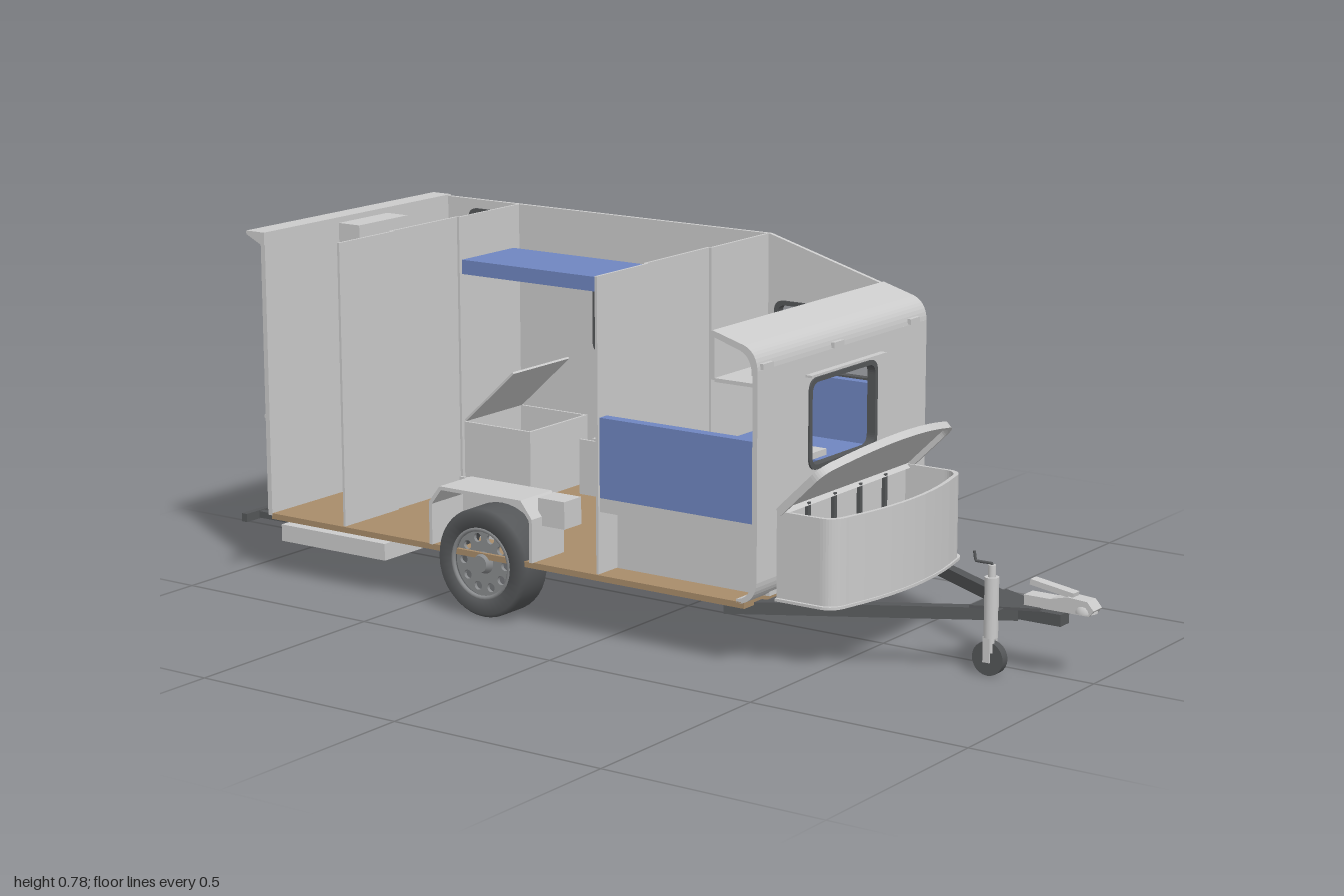
import * as THREE from 'three';

const GREY = 0xcccccc, DARK = 0x555759, BLUE = 0x6f86c0, WOOD = 0xa88c6a, RED = 0x96283c, AMBER = 0xc8862e;
const mats = {};
const mat = (c) => (mats[c] ??= new THREE.MeshStandardMaterial({ color: c, side: THREE.DoubleSide }));

export function createModel() {
  const model = new THREE.Group();
  const add = (name, geo, color = GREY, parent = model) => {
    const m = new THREE.Mesh(geo, mat(color));
    m.name = name;
    parent.add(m);
    return m;
  };
  // Box given by its limits on each axis
  const box = (name, x0, x1, y0, y1, z0, z1, color, parent) => {
    const g = new THREE.BoxGeometry(x1 - x0, y1 - y0, z1 - z0);
    g.translate((x0 + x1) / 2, (y0 + y1) / 2, (z0 + z1) / 2);
    return add(name, g, color, parent);
  };
  const extrude = (shape, depth) => new THREE.ExtrudeGeometry(shape, { depth, bevelEnabled: false, curveSegments: 10 });
  const poly = (pts) => new THREE.Shape(pts.map((p) => new THREE.Vector2(...p)));
  const roundRect = (P, x0, x1, y0, y1, r) => {
    const p = new P();
    p.moveTo(x0 + r, y0);
    p.lineTo(x1 - r, y0).quadraticCurveTo(x1, y0, x1, y0 + r);
    p.lineTo(x1, y1 - r).quadraticCurveTo(x1, y1, x1 - r, y1);
    p.lineTo(x0 + r, y1).quadraticCurveTo(x0, y1, x0, y1 - r);
    p.lineTo(x0, y0 + r).quadraticCurveTo(x0, y0, x0 + r, y0);
    return p;
  };
  const windowFrame = (x0, x1, y0, y1, r, depth) => {
    const s = roundRect(THREE.Shape, x0 - 0.004, x1 + 0.004, y0 - 0.004, y1 + 0.004, r);
    s.holes.push(roundRect(THREE.Path, x0 + 0.006, x1 - 0.006, y0 + 0.006, y1 - 0.006, r * 0.8));
    return extrude(s, depth);
  };
  // Bar between two points with a rectangular section
  const bar = (name, a, b, h, w, color) => {
    const A = new THREE.Vector3(...a), B = new THREE.Vector3(...b);
    const m = add(name, new THREE.BoxGeometry(w, h, A.distanceTo(B)), color);
    m.position.copy(A).lerp(B, 0.5);
    m.lookAt(B);
    return m;
  };
  const rod = (name, pts, r, color, parent) => add(name, new THREE.TubeGeometry(
    new THREE.CatmullRomCurve3(pts.map((p) => new THREE.Vector3(...p)), false, 'catmullrom', 0.1), 16, r, 8), color, parent);

  // Side wall with windows and wheel opening
  const wall = new THREE.Shape();
  wall.moveTo(-0.92, 0.14);
  wall.lineTo(-0.45, 0.14).lineTo(-0.45, 0.24).lineTo(-0.42, 0.27).lineTo(-0.2, 0.27).lineTo(-0.17, 0.24).lineTo(-0.17, 0.14);
  wall.lineTo(0.35, 0.14).quadraticCurveTo(0.4, 0.145, 0.4, 0.2);
  wall.lineTo(0.4, 0.62).quadraticCurveTo(0.4, 0.67, 0.36, 0.68);
  wall.lineTo(0, 0.78).lineTo(-0.92, 0.78).closePath();
  const windows = [[0.02, 0.28, 0.48, 0.63], [-0.48, -0.23, 0.46, 0.62], [-0.84, -0.745, 0.66, 0.755]];
  for (const [x0, x1, y0, y1] of windows) {
    wall.holes.push(roundRect(THREE.Path, x0, x1, y0, y1, 0.025));
    add('sideWindowFrame', windowFrame(x0, x1, y0, y1, 0.025, 0.02), DARK).position.z = -0.328;
    const mid = (x0 + x1) / 2;
    box('windowDivider', mid - 0.004, mid + 0.004, y0, y1, -0.326, -0.314, DARK);
    box('windowRainStrip', x0 - 0.025, x1 + 0.015, y1 + 0.012, y1 + 0.017, -0.342, -0.32);
  }
  add('sideWall', extrude(wall, 0.01)).position.z = -0.323;
  box('beltTrim', -0.92, 0.4, 0.363, 0.37, -0.326, -0.322);
  box('lowerTrim', -0.92, -0.45, 0.14, 0.148, -0.326, -0.322);
  for (const x of [-0.84, -0.1, 0.34]) box('sideMarker', x - 0.014, x + 0.014, 0.332, 0.342, -0.328, -0.322, AMBER);

  // Rear wall, spoiler and lights
  box('rearWall', -0.92, -0.908, 0.14, 0.78, -0.32, 0.33);
  add('rearSpoiler', extrude(poly([[-0.908, 0.783], [-0.96, 0.783], [-0.96, 0.775], [-0.918, 0.755], [-0.908, 0.755]]), 0.655)).position.z = -0.323;
  box('rearBeltTrim', -0.923, -0.92, 0.363, 0.37, -0.32, 0.33);
  for (const s of [1, -1]) {
    const c = 0.005 + s * 0.255;
    box('tailLight', -0.925, -0.92, 0.385, 0.42, c - 0.055, c + 0.055, RED);
    box('topRearLight', -0.925, -0.92, 0.725, 0.735, c - 0.015, c + 0.015, RED);
    box('bumperArm', -0.99, -0.85, 0.115, 0.13, s * 0.28 - 0.008, s * 0.28 + 0.008, DARK);
  }
  box('rearLock', -0.925, -0.92, 0.555, 0.57, -0.02, 0.02, DARK);
  box('rearBumper', -1, -0.985, 0.113, 0.132, -0.33, 0.33, DARK);

  // Front wall with window, rounded cap and lower edge
  const front = poly([[-0.33, 0.19], [0.32, 0.19], [0.32, 0.63], [-0.33, 0.63]]);
  front.holes.push(roundRect(THREE.Path, -0.138, 0.117, 0.39, 0.577, 0.03));
  const frontWall = add('frontWall', extrude(front, 0.012));
  frontWall.rotation.y = Math.PI / 2;
  frontWall.position.x = 0.388;
  const frontFrame = add('frontWindowFrame', windowFrame(-0.138, 0.117, 0.39, 0.577, 0.03, 0.02), DARK);
  frontFrame.rotation.y = Math.PI / 2;
  frontFrame.position.x = 0.384;
  box('frontRainStrip', 0.4, 0.415, 0.587, 0.592, -0.138, 0.153);
  const cap = new THREE.Shape();
  cap.moveTo(0.4, 0.62);
  cap.quadraticCurveTo(0.402, 0.672, 0.36, 0.682).lineTo(0.29, 0.702).lineTo(0.287, 0.69).lineTo(0.352, 0.67);
  cap.quadraticCurveTo(0.386, 0.66, 0.386, 0.62).closePath();
  add('frontCap', extrude(cap, 0.653)).position.z = -0.323;
  const chin = new THREE.Shape();
  chin.moveTo(0.4, 0.2);
  chin.quadraticCurveTo(0.4, 0.145, 0.35, 0.14).lineTo(0.35, 0.15).quadraticCurveTo(0.388, 0.155, 0.388, 0.2).closePath();
  add('frontLowerEdge', extrude(chin, 0.65)).position.z = -0.32;
  for (const z of [0.3, 0.037, -0.265]) box('frontMarker', 0.395, 0.407, 0.632, 0.644, z - 0.019, z + 0.019);

  // Overhead locker behind the cap
  box('lockerDoor', 0.287, 0.295, 0.6, 0.7, -0.312, 0.33);
  box('lockerFloor', 0.295, 0.388, 0.596, 0.604, -0.312, 0.33);

  // Floor, step and inner walls
  box('floor', -0.91, 0.37, 0.132, 0.145, -0.32, 0.33, WOOD);
  box('entryStep', -0.89, -0.59, 0.082, 0.12, 0.19, 0.32);
  for (const x of [-0.7, -0.005]) {
    for (const [a, b, d] of [[-0.312, -0.09, 0], [-0.095, 0.145, -0.006], [0.14, 0.325, 0]])
      box('partitionPanel', x - 0.003 + d, x + 0.003 + d, 0.145, 0.78, a, b);
  }

  // Washroom
  box('showerTray', -0.908, -0.704, 0.145, 0.16, -0.312, -0.1, DARK);
  box('washCabinet', -0.908, -0.848, 0.145, 0.77, -0.09, 0.08);
  box('mirrorFrame', -0.85, -0.844, 0.61, 0.74, -0.06, 0.05, DARK);
  box('mirror', -0.848, -0.842, 0.622, 0.728, -0.05, 0.04);
  rod('showerPipe', [[-0.905, 0.5, -0.17], [-0.88, 0.5, -0.17], [-0.88, 0.7, -0.17], [-0.85, 0.725, -0.17], [-0.82, 0.7, -0.17]], 0.004, DARK);
  const rose = add('showerHead', new THREE.CylinderGeometry(0.008, 0.022, 0.014, 16), DARK);
  rose.position.set(-0.82, 0.695, -0.17);

  // Raised bunk with two open storage benches below
  box('bunk', -0.69, -0.03, 0.65, 0.683, -0.28, -0.09, BLUE);
  for (const s of [-1, 1]) {
    const X = (d) => -0.36 + s * (0.333 - d);
    const bench = new THREE.Group();
    bench.name = 'storageBench';
    model.add(bench);
    const part = (n, d0, d1, y0, y1, z0, z1) => box(n, Math.min(X(d0), X(d1)), Math.max(X(d0), X(d1)), y0, y1, z0, z1, GREY, bench);
    part('benchFront', 0, 0.19, 0.145, 0.305, -0.1, -0.094);
    part('benchBack', 0, 0.19, 0.145, 0.305, -0.312, -0.306);
    part('benchEnd', 0.184, 0.19, 0.145, 0.305, -0.31, -0.096);
    part('benchBase', 0, 0.19, 0.146, 0.15, -0.31, -0.096);
    bar('benchLid', [X(0), 0.307, -0.203], [X(0.14), 0.435, -0.203], 0.005, 0.21);
  }

  // Front seats and table
  for (const [z0, z1, b0, b1, f0, f1] of [[-0.312, -0.1, -0.312, -0.285, -0.312, -0.15], [0.165, 0.322, 0.296, 0.322, 0.17, 0.26]]) {
    box('seatCushion', 0, 0.385, 0.31, 0.345, z0, z1, BLUE);
    box('seatBackrest', 0, 0.385, 0.345, 0.482, b0, b1, BLUE);
    box('seatBoard', 0, 0.385, 0.28, 0.31, z0, z1);
    box('seatBase', 0, 0.385, 0.145, 0.28, f0, f1);
  }
  const table = add('tableTop', extrude(poly([[0.11, -0.1], [0.17, -0.16], [0.29, -0.16], [0.29, 0.1], [0.17, 0.1], [0.11, 0.04]]), 0.014));
  table.rotation.x = -Math.PI / 2;
  table.position.y = 0.36;
  const leg = add('tableLeg', new THREE.CylinderGeometry(0.012, 0.012, 0.215, 12));
  leg.position.set(0.21, 0.2525, 0.03);

  // Wheels and wheel boxes
  const archShape = () => poly([[-0.45, 0.145], [-0.45, 0.24], [-0.42, 0.278], [-0.2, 0.278], [-0.17, 0.24], [-0.17, 0.145],
    [-0.178, 0.145], [-0.178, 0.236], [-0.204, 0.27], [-0.416, 0.27], [-0.442, 0.236], [-0.442, 0.145]]);
  for (const s of [1, -1]) {
    add('wheelArch', extrude(archShape(), 0.11)).position.z = s > 0 ? 0.225 : -0.327;
    box('wheelBoxInside', -0.45, -0.17, 0.145, 0.274, s > 0 ? 0.222 : -0.215, s > 0 ? 0.228 : -0.209);
    const wheel = new THREE.Group();
    wheel.name = s > 0 ? 'frontSideWheel' : 'backSideWheel';
    wheel.position.set(-0.31, 0.122, s > 0 ? 0.292 : -0.265);
    wheel.rotation.y = s > 0 ? 0 : Math.PI;
    const profile = [[0.076, -0.043], [0.112, -0.044], [0.12, -0.034], [0.12, 0.034], [0.112, 0.044], [0.076, 0.043], [0.074, 0], [0.076, -0.043]];
    const tyre = new THREE.LatheGeometry(profile.map((p) => new THREE.Vector2(...p)), 40);
    add('tyre', tyre.rotateX(Math.PI / 2), DARK, wheel);
    const rim = new THREE.Shape().absarc(0, 0, 0.077, 0, Math.PI * 2);
    for (let i = 0; i < 10; i++) {
      const a = (i / 10) * Math.PI * 2;
      rim.holes.push(new THREE.Path().absarc(Math.cos(a) * 0.056, Math.sin(a) * 0.056, 0.01, 0, Math.PI * 2));
    }
    add('rim', extrude(rim, 0.008), 0x8a8c8e, wheel).position.z = 0.022;
    add('rimEdge', new THREE.TorusGeometry(0.076, 0.005, 8, 40), 0x8a8c8e, wheel).position.z = 0.04;
    const hub = add('hub', new THREE.CylinderGeometry(0.018, 0.026, 0.02, 20), 0x8a8c8e, wheel);
    hub.rotation.x = Math.PI / 2;
    hub.position.z = 0.036;
    model.add(wheel);
  }
  box('wheelArchShelf', -0.18, -0.11, 0.22, 0.28, 0.24, 0.3);

  // Nose storage tub with its lid propped open
  const plan = (P, len, w) => {
    const p = new P();
    p.moveTo(0, -w);
    p.lineTo(len - 0.07, -w).quadraticCurveTo(len - 0.035, -w, len - 0.028, -w + 0.045);
    p.quadraticCurveTo(len + 0.028, 0, len - 0.028, w - 0.045);
    p.quadraticCurveTo(len - 0.035, w, len - 0.07, w).lineTo(0, w).closePath();
    return p;
  };
  const tub = plan(THREE.Shape, 0.175, 0.255);
  tub.holes.push(plan(THREE.Path, 0.167, 0.247));
  add('tubWall', extrude(tub, 0.185).rotateX(-Math.PI / 2)).position.set(0.4, 0.142, 0.002);
  add('tubFloor', extrude(plan(THREE.Shape, 0.178, 0.262), 0.006).rotateX(-Math.PI / 2)).position.set(0.4, 0.138, 0.002);
  const lidRim = plan(THREE.Shape, 0.185, 0.258);
  lidRim.holes.push(plan(THREE.Path, 0.178, 0.251));
  const lid = new THREE.Group();
  lid.name = 'tubLid';
  lid.position.set(0.403, 0.328, 0.002);
  lid.rotation.z = 0.77;
  add('lidPanel', extrude(plan(THREE.Shape, 0.185, 0.258), 0.005).rotateX(-Math.PI / 2), GREY, lid);
  add('lidRim', extrude(lidRim, 0.012).rotateX(-Math.PI / 2), GREY, lid).position.y = -0.012;
  model.add(lid);
  for (const z of [-0.15, -0.05, 0.05, 0.15]) box('tubRib', 0.402, 0.41, 0.145, 0.325, z - 0.005, z + 0.005, DARK);

  // Drawbar, coupling and jockey wheel
  for (const s of [1, -1]) bar('drawbarArm', [0.31, 0.125, s * 0.315], [0.83, 0.125, s * 0.015], 0.026, 0.024, DARK);
  box('drawbarNeck', 0.78, 0.93, 0.113, 0.138, -0.018, 0.018, DARK);
  box('drawbarCrossbar', 0.31, 0.33, 0.113, 0.138, -0.32, 0.31, DARK);
  const plate = add('drawbarPlate', extrude(poly([[0.75, -0.075], [0.88, -0.018], [0.88, 0.018], [0.75, 0.075]]), 0.006).rotateX(-Math.PI / 2), DARK);
  plate.position.y = 0.137;
  add('coupling', extrude(poly([[0.84, 0.142], [0.99, 0.142], [1, 0.155], [0.985, 0.172], [0.94, 0.175], [0.9, 0.165], [0.84, 0.165]]), 0.036)).position.z = -0.026;
  const cup = add('couplingCup', new THREE.SphereGeometry(0.024, 16, 8, 0, Math.PI * 2, 0, Math.PI / 2));
  cup.position.set(0.974, 0.145, -0.008);
  bar('couplingHandle', [0.95, 0.177, -0.008], [0.85, 0.192, -0.008], 0.012, 0.024);

  const tube = (name, r, y0, y1) => {
    const m = add(name, new THREE.CylinderGeometry(r, r, y1 - y0, 16));
    m.position.set(0.8, (y0 + y1) / 2, 0.072);
  };
  tube('jockeyTube', 0.015, 0.083, 0.21);
  tube('jockeyPost', 0.008, 0.05, 0.235);
  box('jockeyClamp', 0.785, 0.815, 0.12, 0.14, 0.03, 0.07, DARK);
  rod('jockeyCrank', [[0.8, 0.23, 0.072], [0.8, 0.238, 0.072], [0.762, 0.238, 0.072], [0.758, 0.258, 0.072]], 0.003, DARK);
  const jockey = add('jockeyWheel', new THREE.CylinderGeometry(0.036, 0.036, 0.02, 24), DARK);
  jockey.rotation.x = Math.PI / 2;
  jockey.position.set(0.795, 0.037, 0.066);
  for (const z of [0.052, 0.08]) box('jockeyFork', 0.787, 0.803, 0.03, 0.085, z - 0.002, z + 0.002);
  return model;
}
